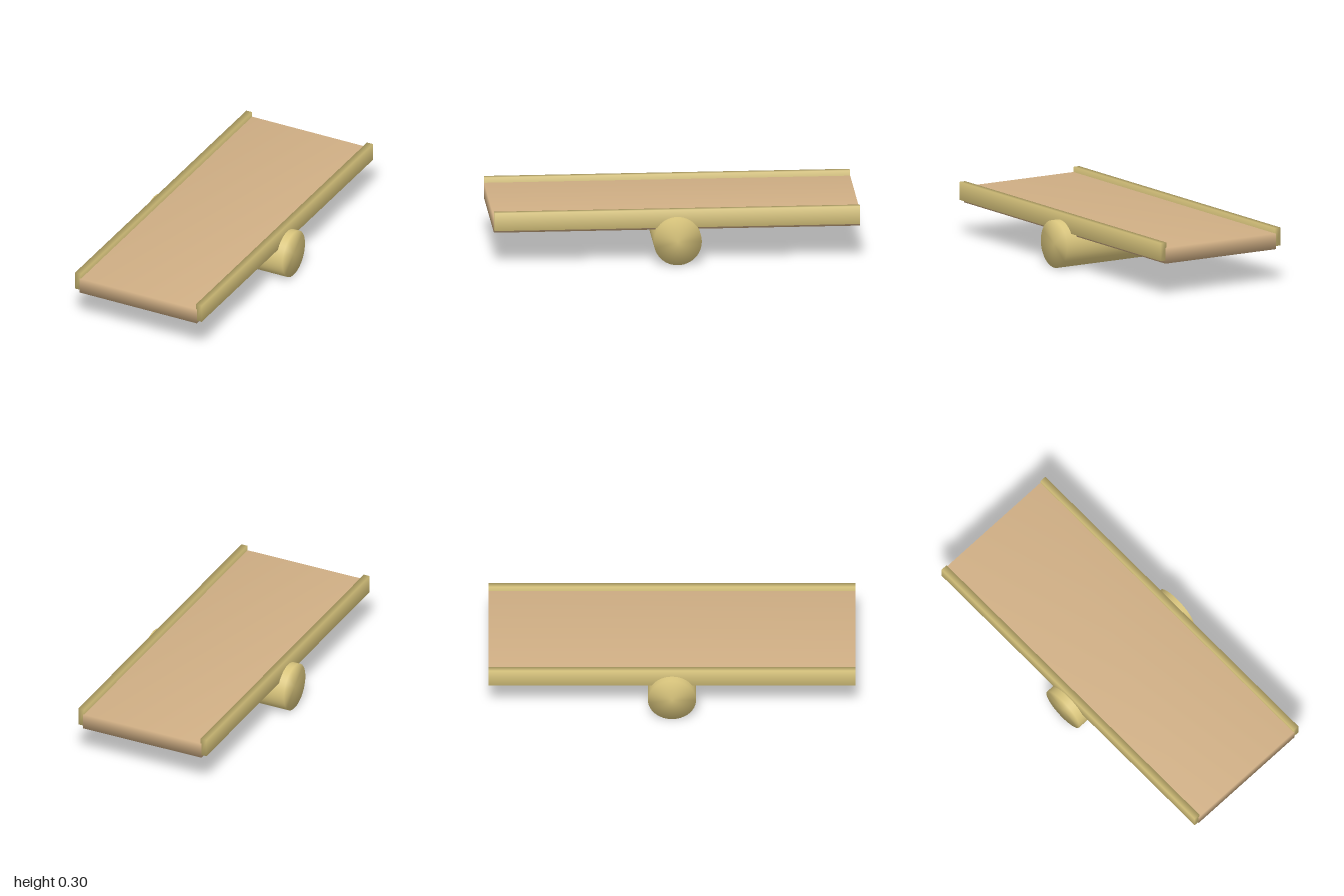
import * as THREE from 'three';
import { mergeVertices } from 'three/addons/utils/BufferGeometryUtils.js';

// Weld corners so shading runs smoothly over the edges
function soften(geometry) {
  geometry.deleteAttribute('normal');
  geometry.deleteAttribute('uv');
  const welded = mergeVertices(geometry, 1e-4);
  welded.computeVertexNormals();
  return welded;
}

export function createModel() {
  const group = new THREE.Group();
  const plankWood = new THREE.MeshStandardMaterial({ color: 0xcfae84 });
  plankWood.name = 'plankWood';
  const paleWood = new THREE.MeshStandardMaterial({ color: 0xd8c47c });
  paleWood.name = 'paleWood';

  function add(name, geometry, material, x, y) {
    const mesh = new THREE.Mesh(soften(geometry), material);
    mesh.name = name;
    mesh.position.set(x, y, 0);
    group.add(mesh);
  }

  // Long flat plank
  add('plank', new THREE.BoxGeometry(0.722, 0.088, 2), plankWood, 0, 0.229);

  // Raised rail along each long edge
  for (const [name, side] of [['leftRail', 1], ['rightRail', -1]]) {
    add(name, new THREE.BoxGeometry(0.036, 0.1, 1.998), paleWood, side * 0.372, 0.252);
  }

  // Roller across the middle, set into the plank
  const roller = new THREE.CylinderGeometry(0.131, 0.131, 0.86, 48).rotateZ(Math.PI / 2);
  add('roller', roller, paleWood, 0, 0.131);

  return group;
}
